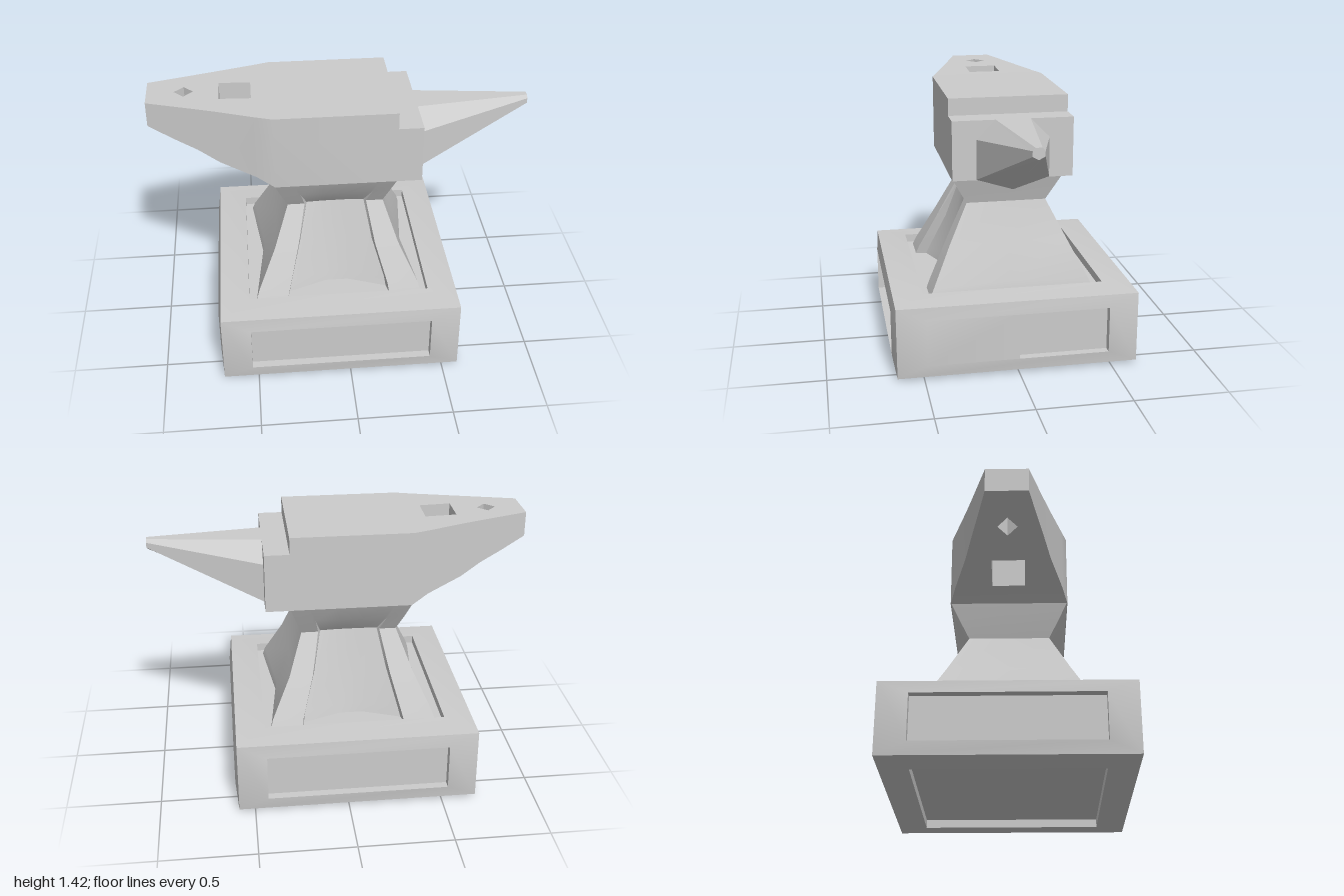
import * as THREE from 'three';
import { toCreasedNormals } from 'three/addons/utils/BufferGeometryUtils.js';

const V = (x, y, z) => new THREE.Vector3(x, y, z);

// Collects triangles and quads (corners counter-clockwise from outside) into a mesh
class Builder {
  constructor() { this.pos = []; }
  tri(...pts) { pts.forEach(p => this.pos.push(p.x, p.y, p.z)); }
  quad(a, b, c, d) { this.tri(a, b, c); this.tri(a, c, d); }
  // joins two rings that run counter-clockwise seen from the second one
  band(r0, r1, skip = []) {
    r0.forEach((p, i) => {
      const j = (i + 1) % r0.length;
      if (!skip.includes(i)) this.quad(p, r0[j], r1[j], r1[i]);
    });
  }
  loft(rings) { for (let i = 1; i < rings.length; i++) this.band(rings[i - 1], rings[i]); }
  cap(ring) { for (let i = 1; i < ring.length - 1; i++) this.tri(ring[0], ring[i], ring[i + 1]); }
  mesh(name, crease) {
    const g = new THREE.BufferGeometry();
    g.setAttribute('position', new THREE.Float32BufferAttribute(this.pos, 3));
    const m = new THREE.Mesh(toCreasedNormals(g, crease), new THREE.MeshStandardMaterial({ color: 0xcccccc }));
    m.name = name;
    return m;
  }
}

// Block with slightly raised faces and a recessed panel on every side
function makeBase() {
  const b = new Builder(), centre = V(-0.05, 0.208, 0);
  const X = V(1, 0, 0), Y = V(0, 1, 0), Z = V(0, 0, 1);
  const half = V(0.635, 0.193, 0.64), inset = V(0.48, 0.125, 0.482);
  const bulge = 0.015, depth = 0.045;
  const along = (size, axis) => Math.abs(size.dot(axis));
  const face = (u, v, n, halfPanel = false) => {
    const ring = (u0, u1, h, d) => [[u0, -h], [u1, -h], [u1, h], [u0, h]].map(([s, t]) =>
      centre.clone().addScaledVector(u, s).addScaledVector(v, t).addScaledVector(n, d));
    const U = along(half, u), H = along(half, v), D = along(half, n);
    const iu = along(inset, u), ih = along(inset, v);
    const start = halfPanel ? 0 : -iu;
    b.band(ring(-U, U, H, D), ring(-iu, iu, ih, D + bulge));
    if (halfPanel) b.cap(ring(-iu, 0, ih, D + bulge));
    const floor = ring(start, iu, ih, D + bulge - depth);
    b.band(ring(start, iu, ih, D + bulge), floor);
    b.cap(floor);
  };
  const neg = a => a.clone().negate();
  face(X, Y, Z);
  face(neg(X), Y, neg(Z));
  face(neg(Z), Y, X, true);
  face(Z, Y, neg(X));
  face(X, neg(Z), Y);
  face(X, Z, neg(Y));
  return b.mesh('base', 0.4);
}

// Waisted pedestal with four corner legs and hollowed front and back
function makePedestal() {
  const b = new Builder();
  // y, x min, x max, half depth, leg width, leg relief, hollow, side hollow
  const levels = [
    [0.36, -0.495, 0.40, 0.445, 0.17, 0.06, 0.14, 0.05],
    [0.42, -0.475, 0.385, 0.42, 0.165, 0.06, 0.13, 0.045],
    [0.62, -0.38, 0.285, 0.32, 0.125, 0.05, 0.08, 0.02],
    [0.83, -0.30, 0.21, 0.215, 0.09, 0.015, 0.02, 0],
    [0.92, -0.335, 0.24, 0.265, 0.09, 0, 0, 0],
    [1.015, -0.368, 0.272, 0.315, 0.09, 0, 0, 0],
  ];
  b.loft(levels.map(([y, x0, x1, z, w, relief, hollow, side]) => {
    const mid = (x0 + x1) / 2, front = [
      [x0, z], [x0 + w, z], [x0 + w + 0.012, z - relief],
      [mid - 0.06, z - hollow], [mid + 0.06, z - hollow],
      [x1 - w - 0.012, z - relief], [x1 - w, z], [x1, z],
    ];
    const back = front.map(([x, d]) => [x, -d]).reverse();
    return [...front, [x1 - side, 0], ...back, [x0 + side, 0]].map(([x, d]) => V(x, y, d));
  }));
  return b.mesh('pedestal', 0.5);
}

// Tapering heel, working face and step, with two holes through the heel
function makeBody() {
  const b = new Builder();
  const diamond = [[-0.86, 0], [-0.81, -0.052], [-0.76, 0], [-0.81, 0.052]];
  const square = [[-0.63, -0.087], [-0.465, -0.087], [-0.465, 0.087], [-0.63, 0.087]];
  // x, half depth, underside, top, hole in the stretch that follows
  const stations = [
    [-1, 0.11, 1.29, 1.422],
    [-0.87, 0.15, 1.23, 1.42, diamond],
    [-0.75, 0.187, 1.18, 1.418, null],
    [-0.64, 0.222, 1.12, 1.416, square],
    [-0.455, 0.285, 1.057, 1.411, null],
    [-0.365, 0.315, 1.008, 1.41],
    [0.27, 0.315, 1.008, 1.41],
    [0.27, 0.315, 1.008, 1.32],
    [0.4, 0.315, 1.008, 1.32],
  ];
  const ring = ([x, z, lo, hi]) => [V(x, lo, z), V(x, lo, -z), V(x, hi, -z), V(x, hi, z)];
  for (let i = 0; i < stations.length - 1; i++) {
    const s = stations[i], e = stations[i + 1], hole = s[4];
    b.band(ring(s), ring(e), hole ? [0, 2] : []);
    if (!hole) continue;
    // k = 2 is the underside, k = 3 the top
    const at = (p, k) => V(p.x, THREE.MathUtils.mapLinear(p.x, s[0], e[0], s[k], e[k]), -p.y);
    const outline = [[s[0], -s[1]], [e[0], -e[1]], [e[0], e[1]], [s[0], s[1]]].map(p => new THREE.Vector2(...p));
    const rim = hole.map(p => new THREE.Vector2(...p));
    const inner = [...rim].reverse(), all = [...outline, ...inner];
    for (const [p, q, r] of THREE.ShapeUtils.triangulateShape(outline, [inner])) {
      b.tri(at(all[p], 3), at(all[q], 3), at(all[r], 3));
      b.tri(at(all[r], 2), at(all[q], 2), at(all[p], 2));
    }
    b.band(inner.map(p => at(p, 2)), inner.map(p => at(p, 3)));
  }
  b.cap(ring(stations[0]).reverse());
  b.cap(ring(stations.at(-1)));
  return b.mesh('body', 0.35);
}

// Seven-sided horn, its keel running back into the pedestal
function makeHorn() {
  const b = new Builder();
  const section = (x, keel, low, high, top, wide, narrow) => [
    [0, keel], [-wide, low], [-wide, high], [-narrow, top],
    [narrow, top], [wide, high], [wide, low],
  ].map(([z, y]) => V(x, y, z));
  const rings = [
    section(0.2, 0.95, 1.01, 1.15, 1.2, 0.19, 0.09),
    section(0.4, 0.95, 1.01, 1.22, 1.32, 0.19, 0.09),
    section(1, 1.262, 1.278, 1.305, 1.32, 0.03, 0.016),
  ];
  b.loft(rings);
  b.cap(rings[2]);
  return b.mesh('horn', 0.1);
}

export function createModel() {
  const group = new THREE.Group();
  group.name = 'anvil';
  group.add(makeBase(), makePedestal(), makeBody(), makeHorn());
  return group;
}
